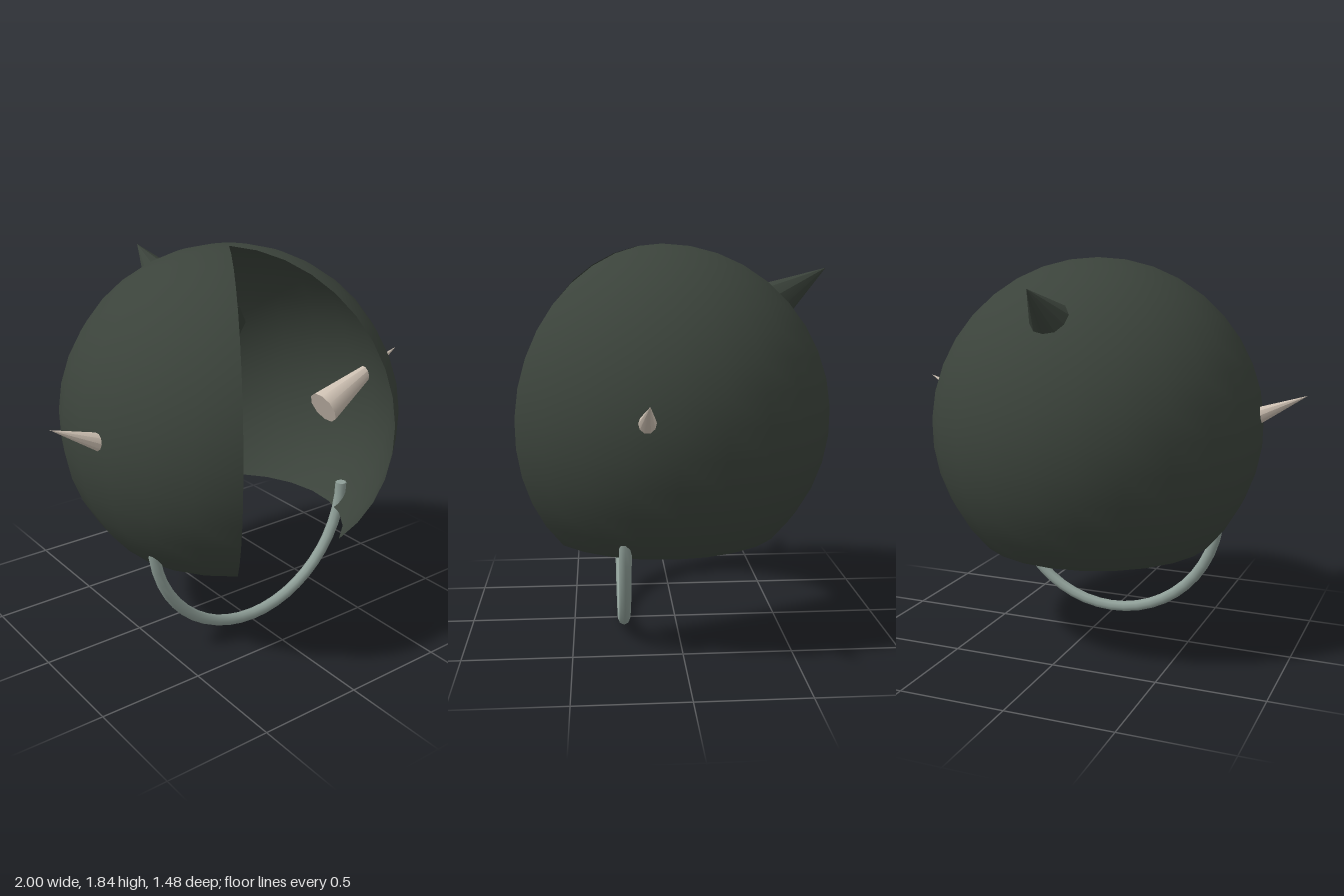
import * as THREE from 'three';

const deg = THREE.MathUtils.degToRad;

const shellMat = new THREE.MeshStandardMaterial({ color: 0x3b433b, side: THREE.DoubleSide });
shellMat.name = 'dark green shell';
const spikeMat = new THREE.MeshStandardMaterial({ color: 0xcfc2b4 });
spikeMat.name = 'pale bone';
const strapMat = new THREE.MeshStandardMaterial({ color: 0x8f9f98 });
strapMat.name = 'grey green strap';

// Cone running from the centre of its base to its tip
function spike(name, base, tip, radius, material) {
  const from = new THREE.Vector3(...base);
  const axis = new THREE.Vector3(...tip).sub(from);
  const length = axis.length();
  const geometry = new THREE.ConeGeometry(radius, length, 10);
  geometry.translate(0, length / 2, 0);
  const mesh = new THREE.Mesh(geometry, material);
  mesh.name = name;
  mesh.position.copy(from);
  mesh.quaternion.setFromUnitVectors(new THREE.Vector3(0, 1, 0), axis.normalize());
  return mesh;
}

export function createModel() {
  const model = new THREE.Group();
  model.name = 'hornedHelmet';

  // Open-bottomed thin shell with a wedge cut out at the front
  const opening = 65;
  const shell = new THREE.Mesh(
    new THREE.SphereGeometry(0.804, 20, 14, deg(90 + opening / 2), deg(360 - opening), 0, deg(135)),
    shellMat
  );
  shell.name = 'helmetShell';
  shell.position.set(0, 1.04, 0.06);
  model.add(shell);

  // Rear horn and the two side spikes, all piercing the shell
  model.add(spike('rearHorn', [0, 1.355, -0.146], [0, 1.73, -0.725], 0.24, shellMat));
  for (const [name, s] of [['leftSpike', 1], ['rightSpike', -1]]) {
    model.add(spike(name, [s * 0.51, 0.99, 0.17], [s, 1.22, 0.17], 0.087, spikeMat));
  }

  // Half-ring chin strap with closed ends
  const strap = new THREE.Group();
  strap.name = 'chinStrap';
  strap.position.set(0, 0.6, 0.26);
  const ring = new THREE.Mesh(new THREE.TorusGeometry(0.57, 0.028, 8, 24, Math.PI), strapMat);
  ring.name = 'strapRing';
  ring.rotation.z = Math.PI;
  strap.add(ring);
  for (const s of [1, -1]) {
    const cap = new THREE.Mesh(new THREE.CircleGeometry(0.028, 8), strapMat);
    cap.name = s > 0 ? 'leftStrapEnd' : 'rightStrapEnd';
    cap.rotation.x = -Math.PI / 2;
    cap.position.x = s * 0.57;
    strap.add(cap);
  }
  model.add(strap);

  return model;
}
